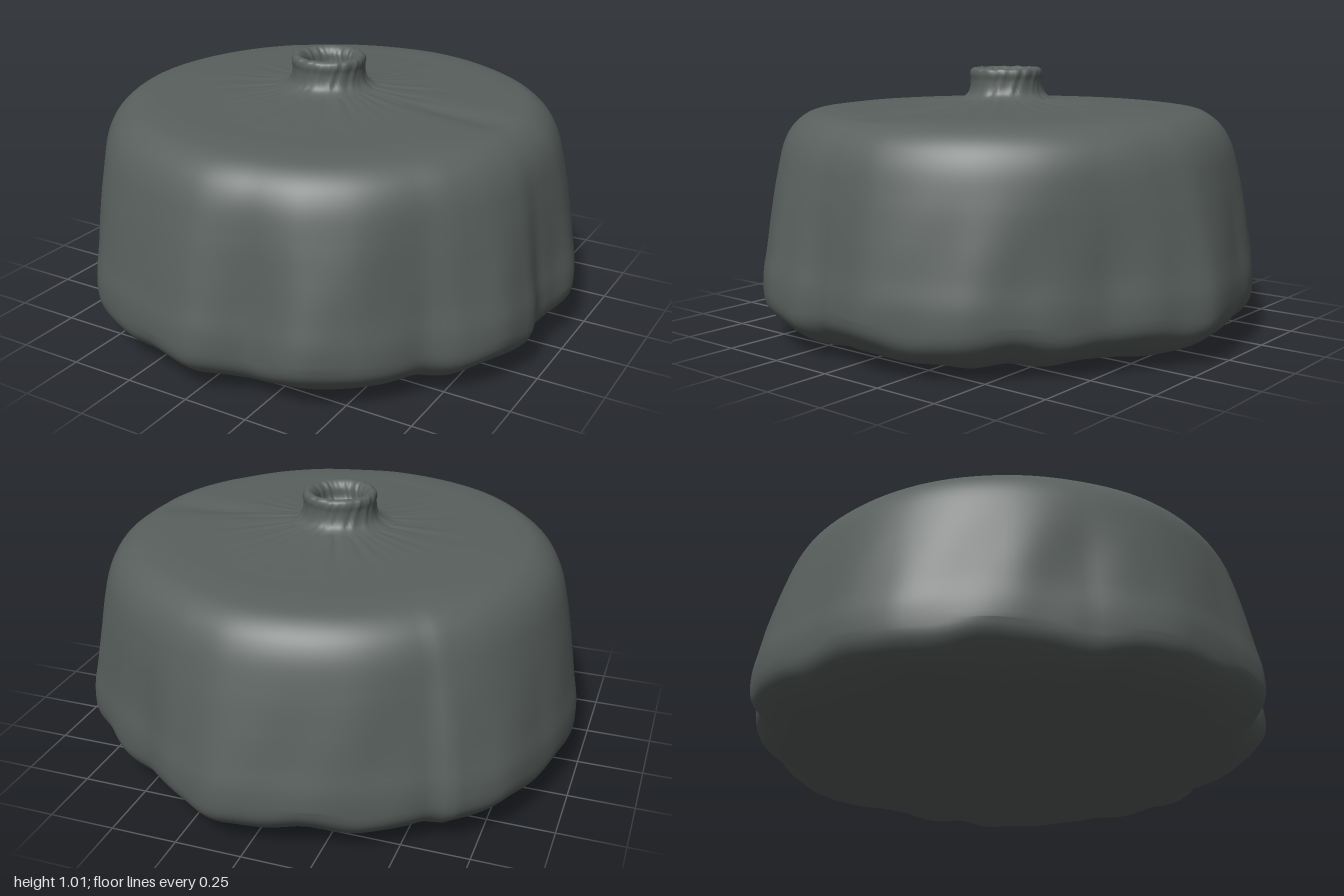
import * as THREE from 'three';
import { mergeVertices } from 'three/addons/utils/BufferGeometryUtils.js';

// Widest outline of the sagging bag: [angle in degrees from +x towards +z, radius]
const OUTLINE = [
  [-9, .977], [0, .945], [6, .935], [13, .975], [22, .99], [32, .97], [40, .93], [55, .985],
  [66, .995], [78, .93], [90, .993], [105, .97], [122, .975], [141, .92], [158, .935],
  [180, .975], [200, .98], [216, 1.01], [227, 1.005], [231, .96], [246, .976], [259, .97],
  [276, 1.006], [286, .965], [300, .915], [316, .94], [330, .967], [351, .977],
];

// Half section of the bag from the underside up to the neck: [radius, height]
const BAG = [
  [0, .03], [.3, .027], [.5, .02], [.66, .017], [.78, .03], [.87, .066], [.93, .112],
  [.96, .16], [.965, .25], [.948, .36], [.93, .48], [.907, .61], [.875, .73], [.835, .797],
  [.775, .842], [.7, .858], [.55, .866], [.4, .873], [.28, .88], [.2, .888], [.15, .896],
];

// Half section of the filler neck, from flared foot over the lip into the shallow cup
const NECK = [
  [.22, .882], [.178, .894], [.154, .91], [.143, .932], [.139, .965], [.142, .99], [.137, 1.006],
  [.122, 1.013], [.106, 1.005], [.093, .985], [.088, .95], [.075, .934], [.04, .93], [0, .93],
];

const smooth = THREE.MathUtils.smoothstep;

function outlineRadius(deg) {
  const a = deg > 351 ? deg - 360 : deg;
  let i = 0;
  while (i < OUTLINE.length - 2 && OUTLINE[i + 1][0] < a) i++;
  const [a0, r0] = OUTLINE[i], [a1, r1] = OUTLINE[i + 1];
  // between straight and eased, so the bulges stay broad
  const t = (a - a0) / (a1 - a0);
  return THREE.MathUtils.lerp(r0, r1, .5 * t + .5 * smooth(a, a0, a1));
}

// Irregular wave around the axis, about -1 to 1
const ripple = (a, n, s) =>
  (Math.sin(n * a + s) + Math.sin((n + 4) * a + 2 * s) + Math.sin((2 * n - 3) * a + 3 * s)) / 3;

// Lathe a smoothed section, then move each vertex by rule(angle, radius, y) -> [radius, y]
function softLathe(section, rows, segments, rule) {
  const curve = new THREE.CatmullRomCurve3(
    section.map(([r, y]) => new THREE.Vector3(r, y, 0)), false, 'centripetal');
  const pts = curve.getPoints(rows).map(p => new THREE.Vector2(Math.max(0, p.x), p.y));
  const geo = new THREE.LatheGeometry(pts, segments);
  const pos = geo.attributes.position;
  for (let i = 0; i < pos.count; i++) {
    const x = pos.getX(i), y = pos.getY(i), z = pos.getZ(i);
    const r = Math.hypot(x, z);
    if (r < 1e-5) continue;
    const a = (Math.atan2(z, x) + Math.PI * 2) % (Math.PI * 2);
    const [nr, ny] = rule(a, r, y);
    pos.setXYZ(i, x / r * nr, ny, z / r * nr);
  }
  geo.deleteAttribute('uv');
  geo.deleteAttribute('normal');
  const merged = mergeVertices(geo, 1e-5);
  merged.computeVertexNormals();
  return merged;
}

export function createModel() {
  const group = new THREE.Group();
  group.name = 'pouf';
  const fabric = new THREE.MeshStandardMaterial({ color: 0x59605d });
  fabric.name = 'grey green fabric';
  fabric.side = THREE.DoubleSide;

  // Bag: the irregular outline is strongest near the floor and fades towards the top
  const bag = new THREE.Mesh(softLathe(BAG, 120, 200, (a, r, y) => {
    const sag = 1 - smooth(y, .25, .8);
    const edge = smooth(r, .3, .9);
    const bulge = outlineRadius(a * 180 / Math.PI) / .965 - 1;
    let nr = r * (1 + bulge * edge * (.2 + .8 * sag));
    // faint hanging folds on the wall
    const wall = smooth(y, .05, .2) * (1 - smooth(y, .4, .75));
    nr += wall * .005 * ripple(a, 11, 1 + 3 * y);
    let ny = y;
    if (y < .2) {
      // uneven bottom hem and gathered underside
      ny += .014 * edge * ripple(a, 7, 1) * smooth(y, .02, .1);
      ny += .01 * smooth(r, .1, .7) * ripple(a, 13, 2 + 2 * r);
    } else if (y > .8) {
      // fine gathers radiating from the neck and one shallow crease
      ny += .003 * smooth(r, .12, .2) * (1 - smooth(r, .25, .55)) * ripple(a, 21, 1);
      const d = Math.atan2(Math.sin(a - .05), Math.cos(a - .05));
      ny -= .012 * Math.exp(-d * d * 90) * smooth(r, .25, .5) * (1 - smooth(r, .65, .8));
    }
    return [nr, ny];
  }), fabric);
  bag.name = 'bag';
  group.add(bag);

  // Neck: short puckered tube with a shallow cup
  const neck = new THREE.Mesh(softLathe(NECK, 60, 96, (a, r, y) => {
    const pucker = smooth(r, .04, .1) * .004;
    return [r + pucker * ripple(a, 17, 30 * y), y + pucker * .5 * ripple(a, 9, 1)];
  }), fabric);
  neck.name = 'neck';
  neck.position.set(-.01, 0, .01);
  group.add(neck);

  // Rest the lowest fold on the floor and centre the bag
  const box = new THREE.Box3().setFromObject(group, true);
  const centre = box.getCenter(new THREE.Vector3());
  group.position.set(-centre.x, -box.min.y, -centre.z);
  return group;
}
